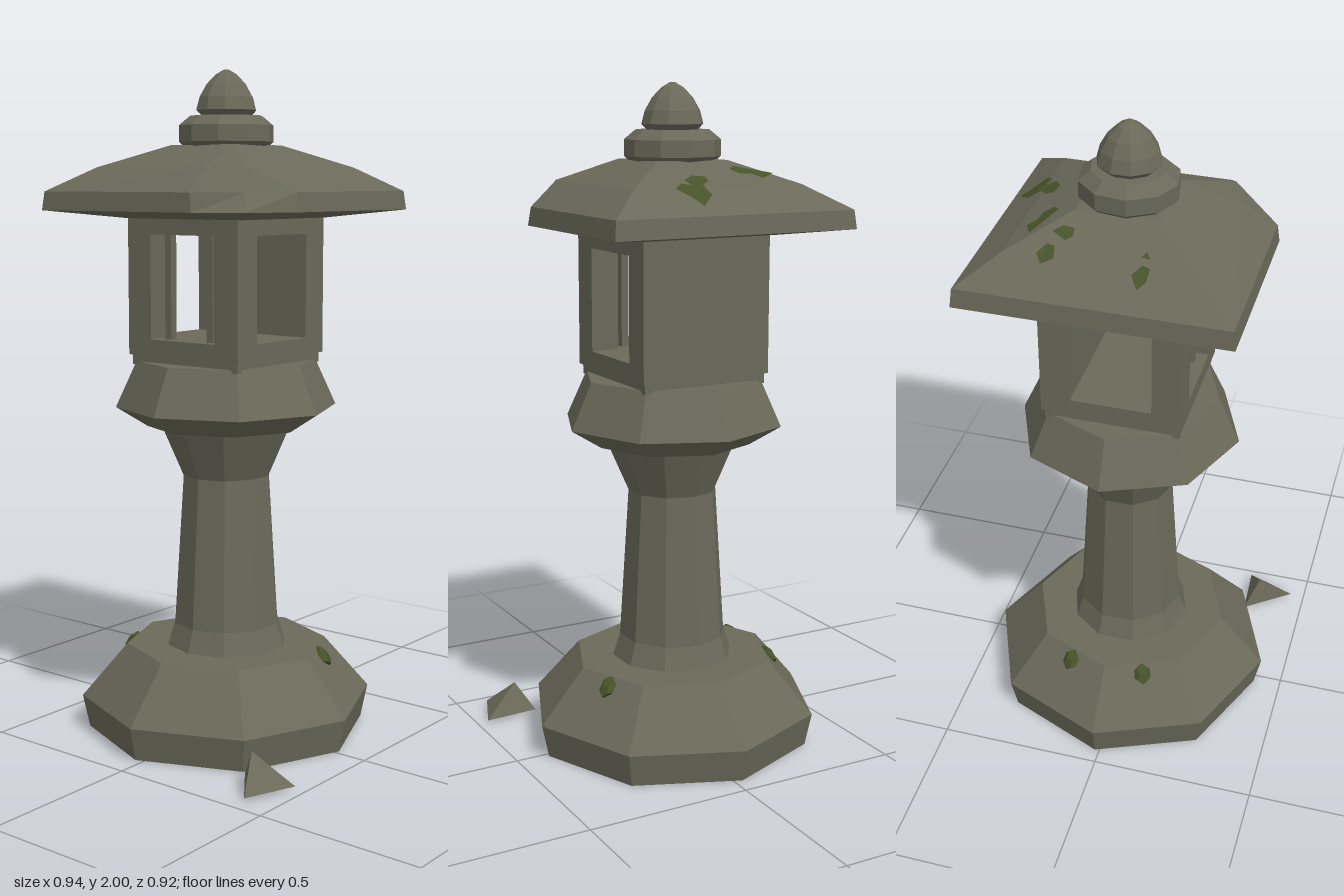
import * as THREE from 'three';
import { ConvexGeometry } from 'three/addons/geometries/ConvexGeometry.js';

const stone = new THREE.MeshStandardMaterial({ color: 0x6a6959 });
stone.name = 'weathered stone';
const moss = new THREE.MeshStandardMaterial({ color: 0x46532a });
moss.name = 'moss green';

// Gives every face its own normals
function facet(geometry) {
  const g = geometry.index ? geometry.toNonIndexed() : geometry;
  g.computeVertexNormals();
  return g;
}

function add(parent, name, geometry, material = stone) {
  const mesh = new THREE.Mesh(facet(geometry), material);
  mesh.name = name;
  parent.add(mesh);
  return mesh;
}

// Many-sided turned block from a [radius, height] profile, bottom to top
function turned(parent, name, sides, profile, turn = 0) {
  const points = profile.map(([r, y]) => new THREE.Vector2(r, y));
  const mesh = add(parent, name, new THREE.LatheGeometry(points, sides));
  mesh.rotation.y = turn;
  return mesh;
}

function block(parent, name, w, y0, y1, d, x = 0, z = 0) {
  const mesh = add(parent, name, new THREE.BoxGeometry(w, y1 - y0, d));
  mesh.position.set(x, (y0 + y1) / 2, z);
  return mesh;
}

// Height of the roof surface at a distance from its axis
function roofHeight(x, z) {
  const h = Math.max(Math.abs(x), Math.abs(z));
  if (h > 0.272) return 1.715 - (h - 0.272) * 0.648;
  return 1.78 - (h - 0.117) * 0.419;
}

// Square roof rings; the front left corner is three points so it can be chipped
function roofGeometry() {
  const rings = [
    { h: 0.2, y: 1.565, chip: [[0.1, 0.2], [0.2, 0.2], [0.2, 0.1]] },
    { h: 0.387, y: 1.59, chip: [[0.186, 0.387], [0.316, 0.314], [0.387, 0.174]] },
    { h: 0.381, y: 1.645, chip: [[0.176, 0.381], [0.29, 0.28], [0.381, 0.164]] },
    { h: 0.272, y: 1.715, chip: [[0.151, 0.28], [0.266, 0.24], [0.272, 0.225]] },
    { h: 0.117, y: 1.78, chip: [[0.06, 0.117], [0.117, 0.117], [0.117, 0.06]] },
    { h: 0, y: 1.785, chip: [[0, 0], [0, 0], [0, 0]] },
  ];
  const n = 6, positions = [], index = [];
  rings.forEach(({ h, y, chip }, r) => {
    for (const [x, z] of [[-h, -h], [-h, h], ...chip, [h, -h]]) positions.push(x, y, z);
    if (r === 0) return;
    for (let i = 0; i < n; i++) {
      const a = (r - 1) * n + i, b = (r - 1) * n + (i + 1) % n;
      index.push(a, b, b + n, a, b + n, a + n);
    }
  });
  const g = new THREE.BufferGeometry();
  g.setAttribute('position', new THREE.Float32BufferAttribute(positions, 3));
  g.setIndex(index);
  return g;
}

// Thin moss sheet draped over the roof from an [x, z] outline
function roofMoss(parent, outline) {
  const shape = new THREE.Shape(outline.map(([x, z]) => new THREE.Vector2(x, -z)));
  const g = new THREE.ShapeGeometry(shape).rotateX(-Math.PI / 2);
  const p = g.attributes.position;
  for (let i = 0; i < p.count; i++) p.setY(i, roofHeight(p.getX(i), p.getZ(i)) + 0.007);
  add(parent, 'roofMoss', g, moss);
}

export function createModel() {
  const model = new THREE.Group();
  model.name = 'stoneLantern';
  const lantern = new THREE.Group();
  lantern.name = 'lantern';
  lantern.position.set(-0.026, 0, -0.014);
  model.add(lantern);

  // Foot, shaft and platform
  turned(lantern, 'base', 8, [[0, 0], [0.427, 0], [0.448, 0.1], [0.308, 0.262], [0, 0.262]]);
  turned(lantern, 'shaft', 10,
    [[0, 0.25], [0.187, 0.26], [0.164, 0.33], [0.135, 0.79], [0.202, 0.945], [0, 0.945]]);
  turned(lantern, 'platform', 8, [[0, 0.94], [0.24, 0.94], [0.336, 1.0], [0.272, 1.14], [0, 1.14]]);

  // Fire box: open front and sides, solid back
  const box = new THREE.Group();
  box.name = 'fireBox';
  lantern.add(box);
  block(box, 'fireBoxFloor', 0.4, 1.13, 1.16, 0.4);
  block(box, 'fireBoxSill', 0.416, 1.16, 1.21, 0.416);
  block(box, 'fireBoxLintel', 0.416, 1.52, 1.57, 0.416);
  block(box, 'backWall', 0.416, 1.21, 1.52, 0.088, 0, -0.164);
  for (const s of [-1, 1]) {
    block(box, 'frontPost', 0.088, 1.21, 1.52, 0.088, s * 0.164, 0.164);
    block(box, 'windowBar', 0.024, 1.21, 1.52, 0.024, s * 0.079, 0.165);
  }

  // Roof, collar and finial
  add(lantern, 'roof', roofGeometry());
  turned(lantern, 'collar', 10,
    [[0, 1.77], [0.125, 1.775], [0.142, 1.79], [0.142, 1.838], [0.108, 1.866], [0, 1.866]], -0.12);
  turned(lantern, 'finial', 10,
    [[0, 1.86], [0.072, 1.862], [0.092, 1.882], [0.082, 1.92], [0.06, 1.958], [0.032, 1.986],
      [0.008, 2], [0, 2]]);

  // Moss patches on the roof
  const patches = [
    [[0.096, -0.352], [0.111, -0.323], [0.147, -0.283], [0.119, -0.26], [0.091, -0.27],
      [0.098, -0.242], [0.06, -0.217], [0.022, -0.225], [0.025, -0.25], [0.055, -0.272], [0.048, -0.31]],
    [[-0.158, -0.242], [-0.137, -0.217], [-0.1, -0.214], [-0.082, -0.187], [-0.104, -0.169],
      [-0.137, -0.184], [-0.168, -0.197], [-0.209, -0.217], [-0.188, -0.23]],
    [[-0.27, -0.179], [-0.237, -0.159], [-0.242, -0.136], [-0.278, -0.13], [-0.295, -0.161]],
    [[-0.199, -0.156], [-0.178, -0.133], [-0.181, -0.1], [-0.206, -0.097], [-0.221, -0.115]],
    [[-0.29, 0.085], [-0.262, 0.108], [-0.27, 0.131], [-0.303, 0.128], [-0.323, 0.108]],
    [[-0.239, 0.098], [-0.221, 0.11], [-0.242, 0.123]],
  ];
  patches.forEach((outline) => roofMoss(lantern, outline));

  // Moss tufts on the sloping faces of the foot
  for (const degrees of [-67.5, 112.5, -112.5]) {
    const turn = new THREE.Group();
    turn.name = 'baseMoss';
    turn.rotation.y = THREE.MathUtils.degToRad(degrees);
    const tuft = add(turn, 'mossTuft', new THREE.DodecahedronGeometry(1), moss);
    tuft.scale.set(0.027, 0.016, 0.036);
    tuft.position.set(0, 0.236, 0.308);
    tuft.rotation.x = 0.88;
    lantern.add(turn);
  }

  // Chip fallen from the roof corner
  const corners = [[0.3, 0.01, 0.31], [0.47, 0.01, 0.3], [0.41, 0.01, 0.455], [0.355, 0.1, 0.35]];
  add(model, 'fallenChip', new ConvexGeometry(corners.map((c) => new THREE.Vector3(...c))));
  return model;
}
